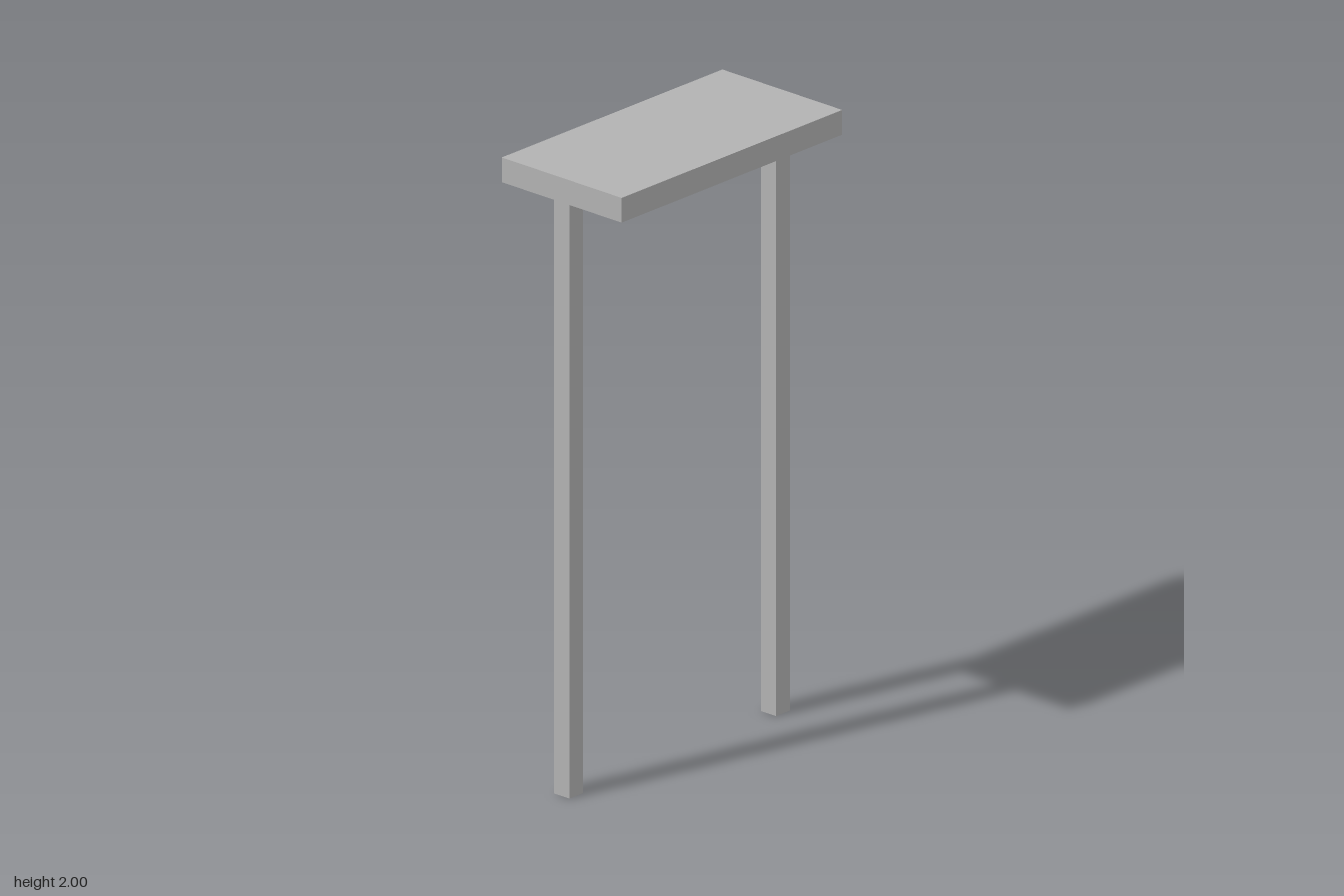
import * as THREE from 'three';

const WIDTH = 0.98, DEPTH = 0.49, HEIGHT = 2, SLAB = 0.08, LEG = 0.062;

export function createModel() {
  const model = new THREE.Group();
  model.name = 'table';
  const grey = new THREE.MeshStandardMaterial({ color: 0xb2b2b2 });
  grey.name = 'plain grey';

  const addBox = (name, w, h, d, x, y) => {
    const mesh = new THREE.Mesh(new THREE.BoxGeometry(w, h, d), grey);
    mesh.name = name;
    mesh.position.set(x, y, 0);
    model.add(mesh);
  };

  // Slab top
  addBox('top', WIDTH, SLAB, DEPTH, 0, HEIGHT - SLAB / 2);

  // One square leg flush with each end, centred front to back
  const legHeight = HEIGHT - SLAB;
  for (const [name, side] of [['leftLeg', 1], ['rightLeg', -1]]) {
    addBox(name, LEG, legHeight, LEG, side * (WIDTH - LEG) / 2, legHeight / 2);
  }
  return model;
}
